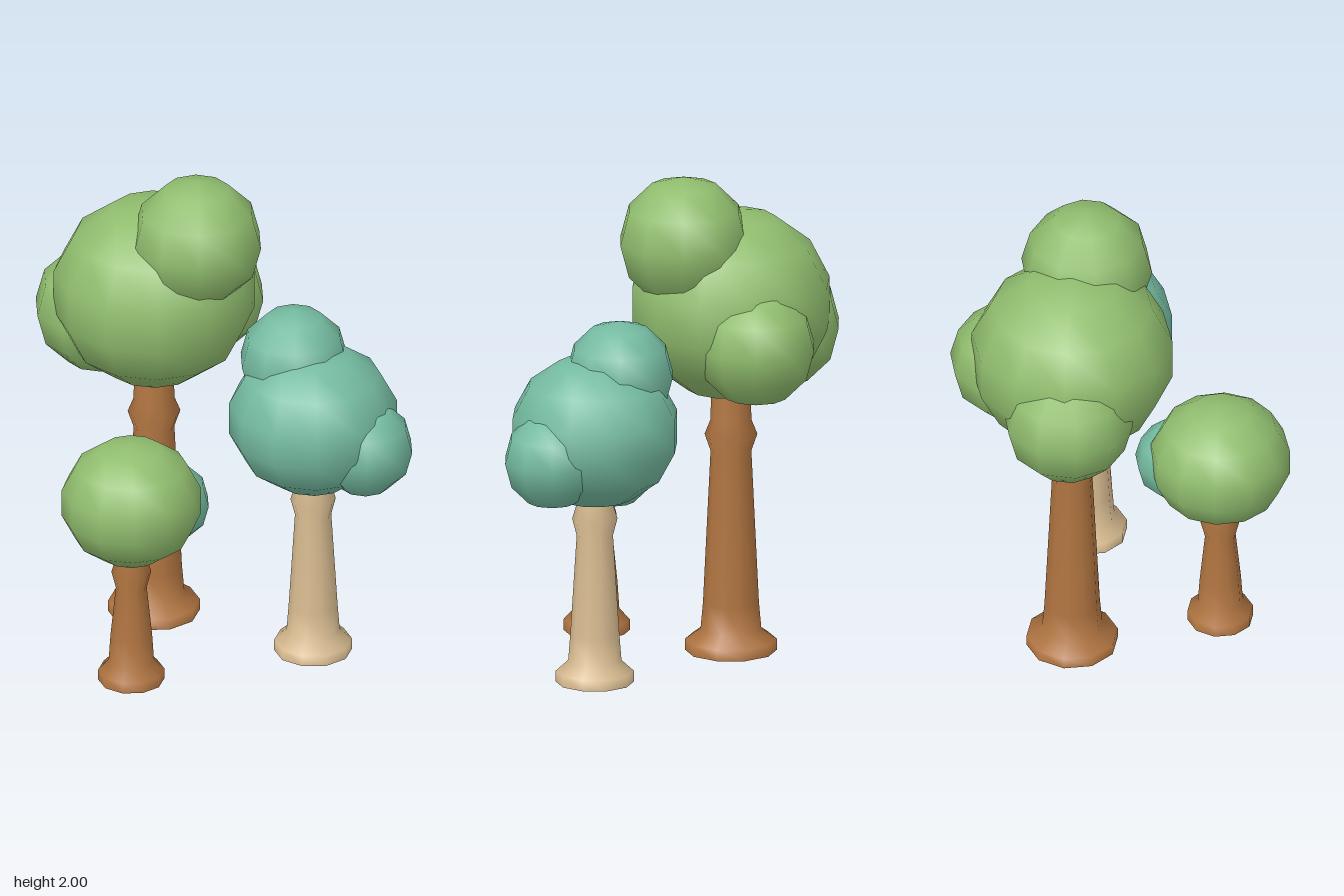
import * as THREE from 'three';

const material = (name, color) => {
  const m = new THREE.MeshStandardMaterial({ color });
  m.name = name;
  return m;
};

export function createModel() {
  const green = material('leafGreen', 0x90bd6e);
  const teal = material('leafTeal', 0x74baa0);
  const brown = material('barkBrown', 0xb17541);
  const tan = material('barkTan', 0xdabd92);

  const mesh = (name, geometry, mat, parent) => {
    const m = new THREE.Mesh(geometry, mat);
    m.name = name;
    parent.add(m);
    return m;
  };

  // Ten-sided trunk: flared foot, taper, ring-shaped bulge, neck inside the crown
  const addTrunk = (tree, mat, { foot, root, neck, bulge, bulgeY, top }) => {
    const profile = [
      [foot, 0], [foot, 0.045], [root, 0.09], [root * 0.92, 0.2],
      [neck, bulgeY - 0.07], [bulge, bulgeY], [neck, bulgeY + 0.06], [neck * 0.95, top],
    ].map(([r, y]) => new THREE.Vector2(r, y));
    mesh('trunk', new THREE.LatheGeometry(profile, 10), mat, tree).rotation.y = Math.PI / 2;
    const base = mesh('trunkBase', new THREE.CircleGeometry(foot, 10), mat, tree);
    base.rotation.x = Math.PI / 2;
  };

  // Large crown, slightly squashed
  const addCrown = (tree, mat, x, y, z, r, ry) => {
    const crown = mesh('crown', new THREE.SphereGeometry(1, 12, 7), mat, tree);
    crown.position.set(x, y, z);
    crown.scale.set(r, ry, r);
  };

  // Smaller leaf clump growing out of a crown
  const addClump = (tree, mat, x, y, z, r) => {
    const clump = mesh('leafClump', new THREE.SphereGeometry(r, 10, 6), mat, tree);
    clump.position.set(x, y, z);
    clump.rotation.y = Math.PI / 2;
  };

  const trees = [
    {
      name: 'tallTree', at: [-0.275, -0.235], bark: brown, leaf: green,
      trunk: { foot: 0.185, root: 0.122, neck: 0.082, bulge: 0.106, bulgeY: 0.9, top: 1.2 },
      crown: [1.447, 0.415, 0.392],
      clumps: [
        [green, -0.108, 1.735, -0.09, 0.267],
        [green, -0.49, 1.315, -0.355, 0.265],
        [green, -0.065, 1.335, -0.41, 0.245],
      ],
    },
    {
      name: 'mediumTree', at: [0.35, 0.136], bark: tan, leaf: teal,
      trunk: { foot: 0.157, root: 0.107, neck: 0.073, bulge: 0.091, bulgeY: 0.68, top: 0.9 },
      crown: [1.047, 0.346, 0.31],
      clumps: [
        [teal, 0.277, 1.267, 0.055, 0.223],
        [teal, 0.553, 0.965, 0.25, 0.198],
      ],
    },
    {
      name: 'smallTree', at: [-0.39, 0.37], bark: brown, leaf: green,
      trunk: { foot: 0.133, root: 0.091, neck: 0.062, bulge: 0.08, bulgeY: 0.485, top: 0.7 },
      crown: [0.8, 0.287, 0.262],
      clumps: [[teal, -0.238, 0.735, 0.25, 0.17]],
    },
  ];

  const model = new THREE.Group();
  model.name = 'treeCluster';
  for (const { name, at: [x, z], bark, leaf, trunk, crown: [y, r, ry], clumps } of trees) {
    const tree = new THREE.Group();
    tree.name = name;
    const stem = new THREE.Group();
    stem.name = 'stem';
    stem.position.set(x, 0, z);
    tree.add(stem);
    addTrunk(stem, bark, trunk);
    addCrown(tree, leaf, x, y, z, r, ry);
    clumps.forEach(([mat, ...args]) => addClump(tree, mat, ...args));
    model.add(tree);
  }
  return model;
}
